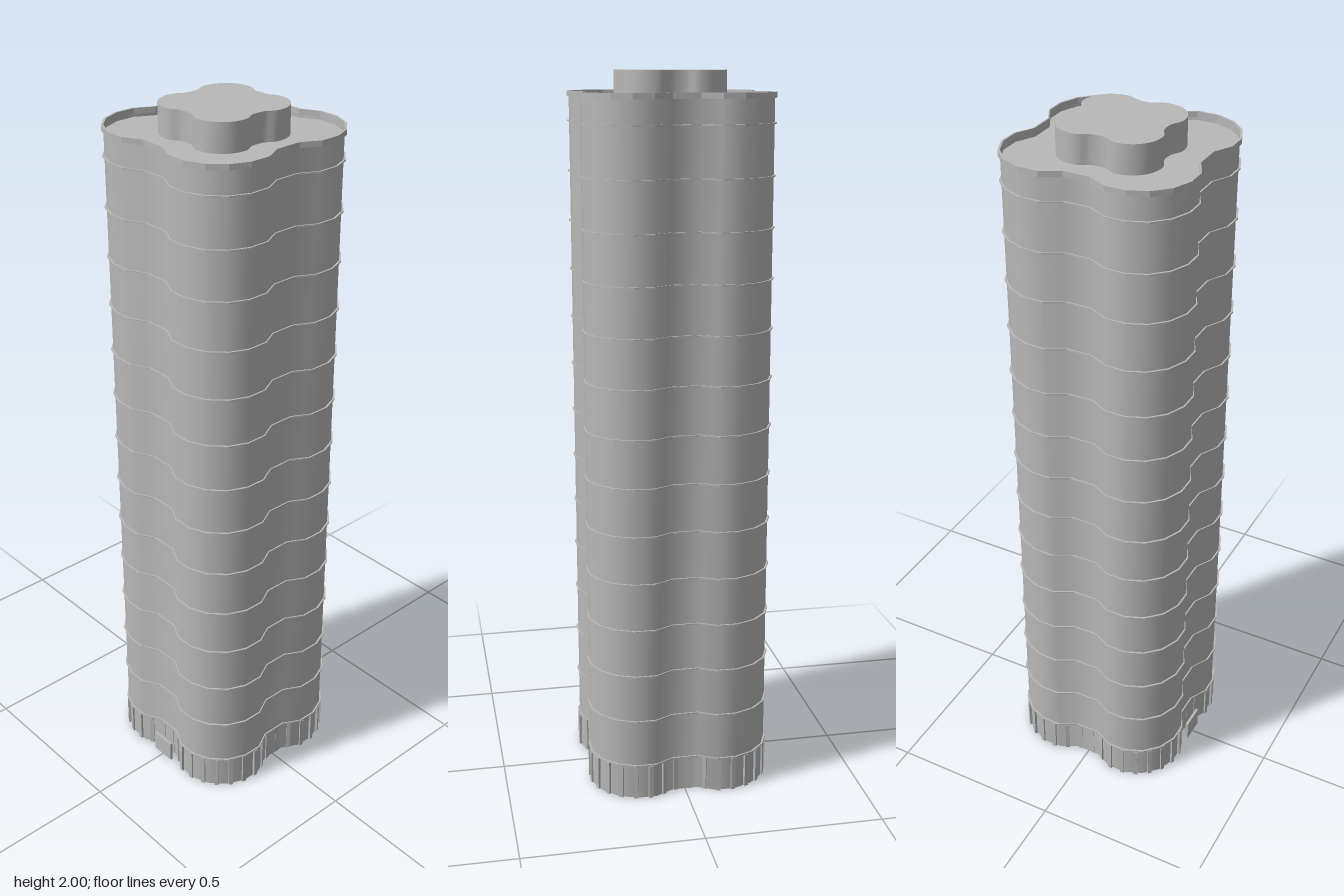
import * as THREE from 'three';

// Four-lobed plan outline, as a closed loop of points; k scales it
function outline(k) {
  const pts = [];
  for (let q = 0; q < 4; q++) {
    const turn = q * Math.PI / 2;
    const corner = [[0.232, 0.037]];
    for (let i = 0; i < 6; i++) {
      const a = THREE.MathUtils.degToRad(-11.25 + i * 22.5);
      corner.push([0.117 + 0.145 * Math.cos(a), 0.117 + 0.145 * Math.sin(a)]);
    }
    corner.push([0.037, 0.232]);
    for (const [x, y] of corner) pts.push(new THREE.Vector2(x * k, y * k).rotateAround(new THREE.Vector2(), turn));
  }
  return pts;
}

// Smooth curve through the outline, in the x-z plane
function outlineCurve(k) {
  return new THREE.CatmullRomCurve3(outline(k).map(p => new THREE.Vector3(p.x, 0, -p.y)), true);
}

// Smooth vertical wall following a loop of points
function wall(pts, y0, y1) {
  const pos = [], idx = [], n = pts.length;
  for (const p of pts) pos.push(p.x, y0, -p.y, p.x, y1, -p.y);
  for (let i = 0; i < n; i++) {
    const a = 2 * i, b = 2 * ((i + 1) % n);
    idx.push(a, b, b + 1, a, b + 1, a + 1);
  }
  const g = new THREE.BufferGeometry();
  g.setAttribute('position', new THREE.Float32BufferAttribute(pos, 3));
  g.setIndex(idx);
  g.computeVertexNormals();
  return g;
}

// Flat horizontal plate at height y
function plate(pts, y) {
  return new THREE.ShapeGeometry(new THREE.Shape(pts)).rotateX(-Math.PI / 2).translate(0, y, 0);
}

// Thin band running round the outline
function band(kOut, kIn, y, h) {
  const s = new THREE.Shape(outline(kOut));
  s.holes.push(new THREE.Path(outline(kIn)));
  return new THREE.ExtrudeGeometry(s, { depth: h, bevelEnabled: false }).rotateX(-Math.PI / 2).translate(0, y, 0);
}

export function createModel() {
  const model = new THREE.Group();
  const concrete = new THREE.MeshStandardMaterial({ color: 0xb8b8b8, side: THREE.DoubleSide });
  concrete.name = 'concrete grey';
  const tower = new THREE.Group();
  tower.name = 'tower';
  tower.position.z = -0.002;
  model.add(tower);
  const add = (name, geo, parent = tower) => {
    const m = new THREE.Mesh(geo, concrete);
    m.name = name;
    parent.add(m);
    return m;
  };
  const K = 0.977;

  // Shaft, open at the bottom, and the roof inside its parapet
  add('shaft', wall(outline(K), 0, 1.945));
  add('roof', plate(outline(K), 1.922));
  add('parapetRim', band(0.995, K - 0.001, 1.93, 0.015));

  // Floor ledges
  for (let i = 0; i < 14; i++) add('floorLedge', band(0.995, K - 0.002, 0.098 + i * 0.1358, 0.004));

  // Rooftop block
  const blockPts = outlineCurve(0.535).getPoints(96).slice(0, -1).map(p => new THREE.Vector2(p.x, -p.z));
  add('rooftopBlockSides', wall(blockPts, 1.922, 2));
  add('rooftopBlockTop', plate(blockPts, 2));

  // Upright fins around the ground floor
  const curve = outlineCurve(K);
  const fin = new THREE.BoxGeometry(0.012, 0.098, 0.009);
  const count = 44;
  for (let i = 0; i < count; i++) {
    const u = (i + 0.5) / count;
    const p = curve.getPointAt(u), t = curve.getTangentAt(u);
    const m = add('groundFloorFin', fin);
    m.position.set(p.x, 0.049, p.z);
    m.rotation.y = Math.atan2(-t.z, t.x);
  }

  // Entrance panel standing in front of the wall
  add('entrancePanel', new THREE.BoxGeometry(0.074, 0.062, 0.008), model).position.set(0, 0.031, 0.249);
  return model;
}
